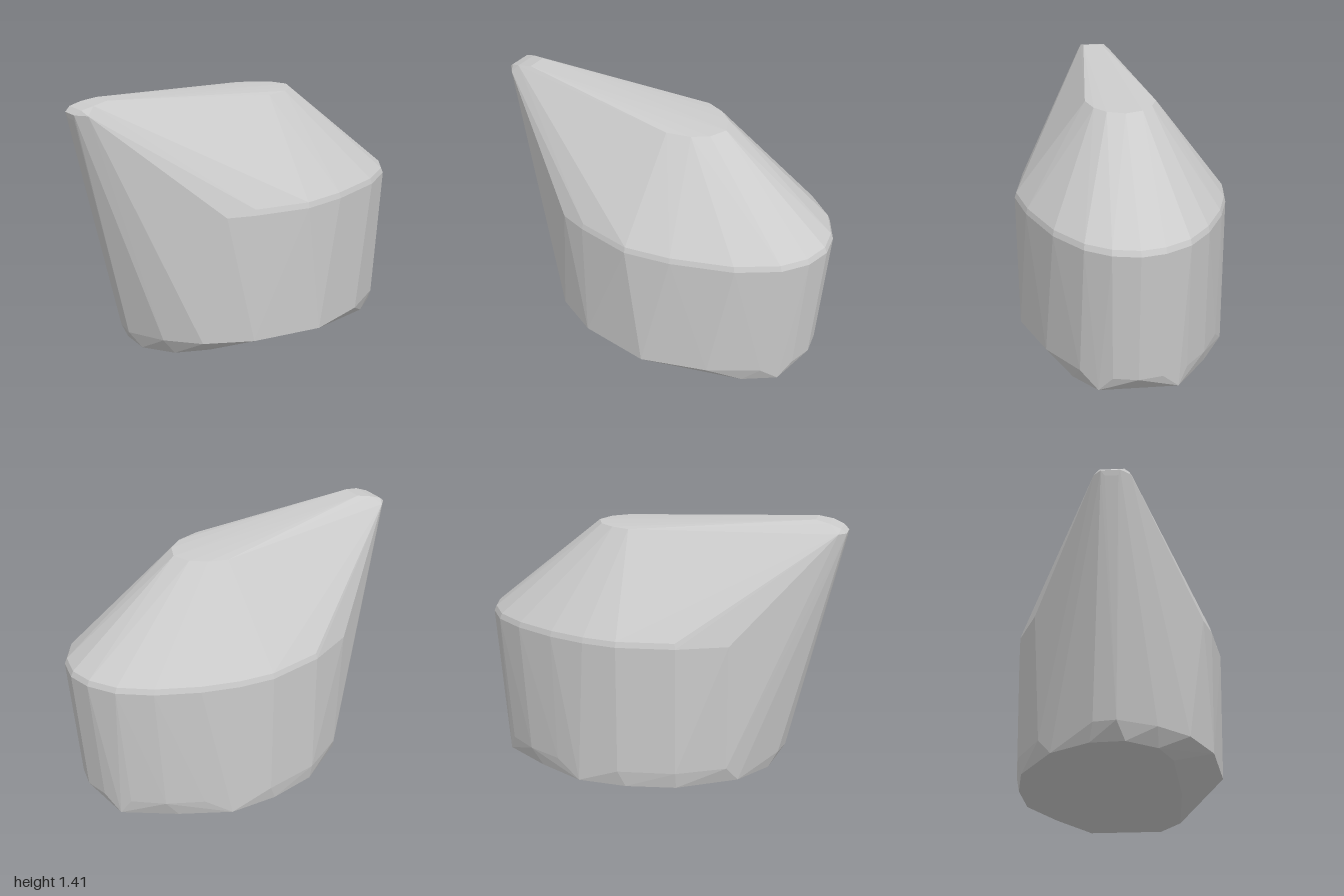
import * as THREE from 'three';
import { ConvexGeometry } from 'three/addons/geometries/ConvexGeometry.js';

// Horizontal ring of points from [x, z] pairs at one height, optionally scaled
const ring = (pairs, y, sx = 1, sz = 1, cx = 0.11) =>
  pairs.map(([x, z]) => new THREE.Vector3(cx + (x - cx) * sx, y, z * sz));

export function createModel() {
  const group = new THREE.Group();

  // Teardrop outline of the widest part
  const waist = [
    [-0.35, 0.485], [-0.2, 0.53], [0.11, 0.58], [0.36, 0.53], [0.68, 0.41],
    [0.88, 0.27], [0.97, 0.14], [1, 0], [0.97, -0.13], [0.88, -0.27],
    [0.72, -0.39], [0.5, -0.495], [0.3, -0.555], [0.11, -0.58], [-0.2, -0.53], [-0.46, -0.415],
  ];
  // Lower edge of the walls
  const lower = [
    [-0.7, 0.04], [-0.68, -0.08], [-0.6, 0.24], [-0.45, 0.4], [-0.2, 0.52], [0.2, 0.57], [0.55, 0.45],
    [0.8, 0.29], [0.91, 0.13], [0.94, 0], [0.91, -0.13], [0.82, -0.27],
    [0.67, -0.39], [0.48, -0.485], [0.11, -0.57], [-0.2, -0.52], [-0.45, -0.38],
  ];
  // Flat base, cut back along the front
  const base = [
    [-0.64, 0.08], [-0.53, 0.24], [-0.35, 0.31], [0.18, 0.34], [0.7, 0.32], [0.86, 0.2],
    [0.86, -0.22], [0.6, -0.4], [0.34, -0.54], [0.07, -0.55], [-0.2, -0.5], [-0.5, -0.31], [-0.63, -0.1],
  ];
  // Rounded end of the sloping top
  const crown = [
    [0.12, 0.19], [0.25, 0.155], [0.33, 0.095], [0.37, 0],
    [0.33, -0.095], [0.25, -0.155], [0.15, -0.19],
  ];
  // Small rounded peak
  const peak = [
    ...ring([[-0.83, 0], [-0.83, 0.11]], 1.415),
    ...ring([[-0.91, -0.02], [-0.91, 0.12]], 1.4),
    ...ring([[-0.97, -0.03], [-0.97, 0.1]], 1.38),
    ...ring([[-1, -0.02], [-1, 0.08], [-0.96, -0.06], [-0.95, 0.135]], 1.355),
    ...ring([[-0.995, 0], [-0.995, 0.07], [-0.95, -0.06], [-0.94, 0.13]], 1.325),
  ];

  const geometry = new ConvexGeometry([
    ...ring(base, 0.005),
    ...ring(lower, 0.095),
    ...ring(waist, 0.805),
    ...ring(waist, 0.835, 0.985, 0.985),
    ...ring(crown, 1.345),
    ...peak,
  ]);

  const body = new THREE.Mesh(
    geometry,
    new THREE.MeshStandardMaterial({ color: 0xcccccc, flatShading: true }),
  );
  body.name = 'body';
  group.add(body);
  return group;
}
